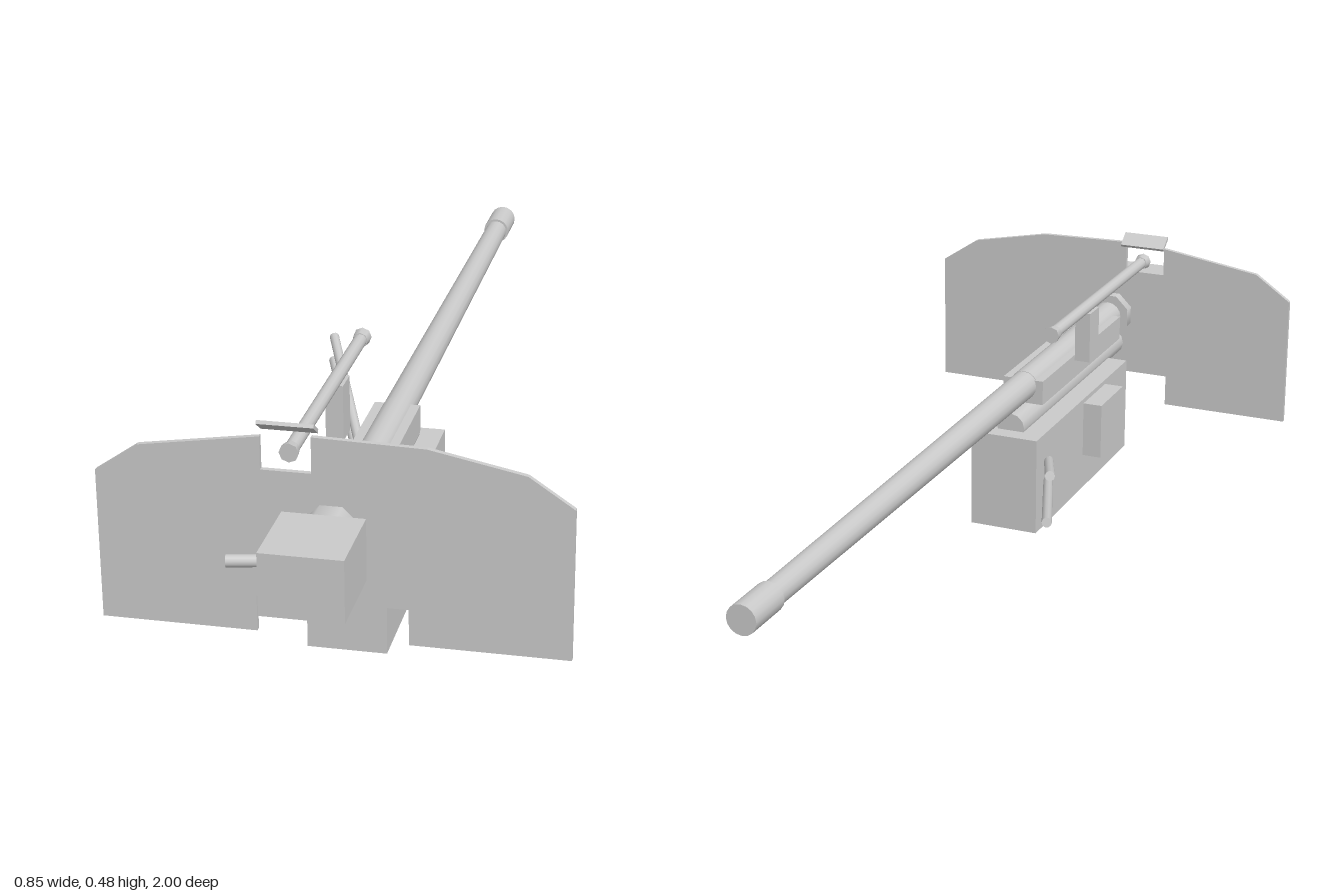
import * as THREE from 'three';

export function createModel() {
  const model = new THREE.Group();
  model.name = 'fieldGun';
  const grey = new THREE.MeshStandardMaterial({ color: 0xcacaca });
  grey.name = 'light grey';

  const add = (name, geometry) => {
    const mesh = new THREE.Mesh(geometry, grey);
    mesh.name = name;
    model.add(mesh);
    return mesh;
  };

  // Box given by its lower and upper corners
  const box = (name, [x0, y0, z0], [x1, y1, z1]) => {
    const mesh = add(name, new THREE.BoxGeometry(x1 - x0, y1 - y0, z1 - z0));
    mesh.position.set((x0 + x1) / 2, (y0 + y1) / 2, (z0 + z1) / 2);
    return mesh;
  };

  // Round bar between two points, with a radius at each end
  const rod = (name, from, to, r0, r1 = r0, sides = 16) => {
    const a = new THREE.Vector3(...from), b = new THREE.Vector3(...to);
    const dir = b.clone().sub(a);
    const mesh = add(name, new THREE.CylinderGeometry(r1, r0, dir.length(), sides));
    mesh.position.copy(a).add(b).multiplyScalar(0.5);
    mesh.quaternion.setFromUnitVectors(new THREE.Vector3(0, 1, 0), dir.normalize());
    return mesh;
  };

  // Pedestal box with a smaller box on each side
  box('base', [-0.074, 0, 0.13], [0.074, 0.21, 0.68]);
  for (const s of [-1, 1]) {
    const x = [0.07 * s, 0.116 * s].sort((a, b) => a - b);
    box(s > 0 ? 'leftSideBox' : 'rightSideBox', [x[0], 0.078, 0.405], [x[1], 0.2, 0.54]);
  }

  // Barrel, muzzle and breech, pointing to the back
  const by = 0.288;
  rod('barrelSleeve', [0, by, 0.76], [0, by, 0.24], 0.032, 0.031);
  rod('barrel', [0, by, 0.24], [0, by, -0.91], 0.03, 0.024);
  rod('muzzle', [0, by, -0.9], [0, by, -1], 0.029);
  rod('breechCollar', [0, by, 0.84], [0, by, 0.75], 0.052, 0.052, 8).geometry.rotateY(Math.PI / 8);
  box('breech', [-0.074, 0.228, 0.838], [0.074, 0.344, 1]);
  rod('breechHandle', [-0.06, 0.307, 0.95], [-0.137, 0.307, 0.966], 0.011, 0.011, 12);

  // Cradle and recoil cylinder with its bevelled end
  box('cradle', [-0.045, 0.25, 0.235], [0.045, 0.303, 0.71]);
  rod('recoilCylinder', [0, 0.217, 0.865], [0, 0.217, 0.167], 0.031, 0.031, 12);
  rod('recoilCylinderEnd', [0, 0.217, 0.882], [0, 0.217, 0.865], 0.018, 0.031, 12);

  // Shield plate with a sight notch and a cut-out for the base
  const outline = [
    [-0.424, 0.08], [-0.138, 0.08], [-0.138, 0.149], [0.136, 0.149], [0.136, 0.08],
    [0.424, 0.08], [0.424, 0.367], [0.342, 0.422], [0.168, 0.457], [-0.034, 0.462],
    [-0.034, 0.394], [-0.125, 0.394], [-0.125, 0.456], [-0.345, 0.422], [-0.424, 0.367],
  ].map(([x, y]) => new THREE.Vector2(x, y));
  const shield = new THREE.ExtrudeGeometry(new THREE.Shape(outline), { depth: 0.01, bevelEnabled: false });
  shield.translate(0, 0, 0.774);
  add('shield', shield);

  // Tilted hood over the notch
  const hood = add('sightHood', new THREE.BoxGeometry(0.102, 0.007, 0.037));
  hood.position.set(-0.08, 0.4705, 0.766);
  hood.rotation.x = -0.62;

  // Telescopic sight on a post
  const sx = -0.077, sy = 0.423;
  rod('sightTube', [sx, sy, 0.76], [sx, sy, 0.21], 0.013, 0.013, 12);
  rod('sightEyepiece', [sx, sy, 0.77], [sx, sy, 0.75], 0.018, 0.015, 8);
  rod('sightLens', [sx, sy, 0.22], [sx, sy, 0.197], 0.015, 0.018, 8);
  box('sightPost', [sx - 0.017, 0.305, 0.383], [sx + 0.017, 0.415, 0.437]);

  // Control rods rising from the side of the base
  rod('lowerControlRod', [-0.062, 0.093, 0.23], [-0.24, 0.197, -0.227], 0.01, 0.01, 10);
  rod('upperControlRod', [-0.062, 0.13, 0.23], [-0.225, 0.272, -0.175], 0.01, 0.01, 10);

  return model;
}
